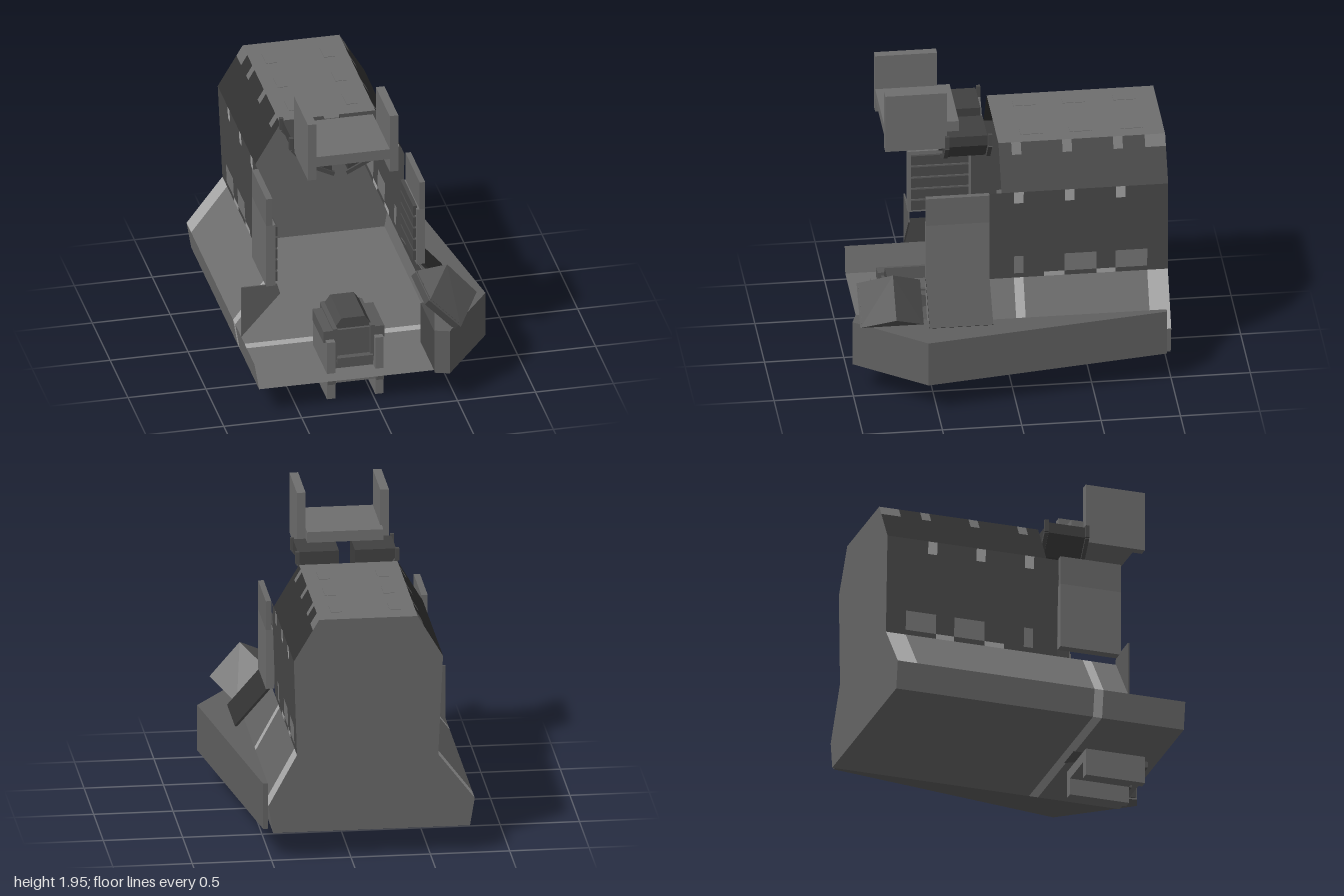
import * as THREE from 'three';
import { ConvexGeometry } from 'three/addons/geometries/ConvexGeometry.js';

const CX = -0.11; // centre line of the hull
const GREY = 0x6f6f6f, WALL = 0x4a4a4a, DARK = 0x323232, SHADE = 0x585858, PALE = 0xa8a8a8;
const materials = {};
const material = color => (materials[color] ??=
  new THREE.MeshStandardMaterial({ color, flatShading: true, side: THREE.DoubleSide }));

export function createModel() {
  const model = new THREE.Group();

  const add = (name, geometry, color = GREY) => {
    const mesh = new THREE.Mesh(geometry, material(color));
    mesh.name = name;
    model.add(mesh);
    return mesh;
  };
  // Box given by its limits on each axis
  const box = (name, x0, x1, y0, y1, z0, z1, color) => {
    const mesh = add(name, new THREE.BoxGeometry(x1 - x0, y1 - y0, z1 - z0), color);
    mesh.position.set((x0 + x1) / 2, (y0 + y1) / 2, (z0 + z1) / 2);
    return mesh;
  };
  // Flat sheet running along z between two points of the cross-section
  const sheet = (name, [ax, ay], [bx, by], z0, z1, color) => {
    const g = new THREE.BufferGeometry();
    g.setAttribute('position', new THREE.Float32BufferAttribute(
      [ax, ay, z0, bx, by, z0, bx, by, z1, ax, ay, z1], 3));
    g.setIndex([0, 1, 2, 0, 2, 3]);
    g.computeVertexNormals();
    return add(name, g, color);
  };
  // Sheet from the back to z = end, interrupted by tiles of another colour
  const course = (name, a, b, end, color, tiles, tileColor) => {
    let z = -1;
    for (const [z0, z1] of tiles) {
      if (z0 > z) sheet(name, a, b, z, z0, color);
      sheet(name + 'Tile', a, b, z0, z1, tileColor);
      z = z1;
    }
    sheet(name, a, b, z, end, color);
  };
  // Outline in x/y, extruded along z
  const prism = (name, pts, z0, z1, color) => {
    const shape = new THREE.Shape(pts.map(p => new THREE.Vector2(...p)));
    const g = new THREE.ExtrudeGeometry(shape, { depth: z1 - z0, bevelEnabled: false });
    return add(name, g.translate(0, 0, z0), color);
  };
  // Slim bar lying along a slanted line in x/y
  const slantBar = (name, [ax, ay], [bx, by], t, z0, z1, color) => {
    const m = box(name, 0, Math.hypot(bx - ax, by - ay), 0, t, z0, z1, color);
    m.position.set((ax + bx) / 2, (ay + by) / 2, (z0 + z1) / 2);
    m.rotation.z = Math.atan2(by - ay, bx - ax);
    return m;
  };

  // Hull shell, open at the front: each side is a stack of tiled courses
  const left = [[0.20, 1.58], [0.36, 1.31], [0.34, 0.69], [0.52, 0.36], [0.49, 0.18]];
  const right = [[-0.42, 1.58], [-0.58, 1.31], [-0.55, 0.66], [-0.78, 0.36], [-0.75, 0.18]];
  const small = [[-0.73, -0.67], [-0.41, -0.35], [-0.09, -0.03]];
  const wide = [[-0.87, -0.67], [-0.55, -0.35], [-0.09, -0.03]];
  const seams = [[-0.67, -0.55], [-0.35, -0.22]];
  for (const side of [left, right]) {
    const at = (i, t) => [0, 1].map(k => side[i][k] + (side[i + 1][k] - side[i][k]) * t);
    course('roofSlope', at(0, 0), at(0, 0.25), 0.05, DARK, [[-1, -0.87], ...small], GREY);
    course('roofSlope', at(0, 0.25), at(0, 1), 0.05, DARK, [], GREY);
    course('sideWall', at(1, 0), at(1, 0.13), 0.13, WALL, small, PALE);
    course('sideWall', at(1, 0.13), at(1, 0.75), 0.13, WALL, [], GREY);
    course('sideWall', at(1, 0.75), at(1, 0.95), 0.13, WALL, wide, 0x787878);
    course('sideWall', at(1, 0.95), at(1, 1), 0.13, WALL, seams, PALE);
    const middle = side === left ? [-0.09, -0.03] : [0.3, 0.36];
    course('lowerSlope', at(2, 0), at(2, 1), 0.53, side === left ? 0x646464 : GREY, [[-1, -0.87], middle], PALE);
    course('floorLip', at(3, 0), at(3, 1), 0.9, GREY, [[0.3, 0.36]], PALE);
  }
  sheet('roof', left[0], right[0], -1, 0.05);
  course('floor', left[4], right[4], 0.9, GREY, [[0.3, 0.36]], PALE);
  const backShape = new THREE.Shape([...left, ...[...right].reverse()].map(p => new THREE.Vector2(...p)));
  add('backWall', new THREE.ShapeGeometry(backShape), 0x666666).position.z = -1;

  // Shallow plates on the roof
  for (const z of [-0.8, -0.48, -0.17])
    for (const x of [-0.295, 0.075])
      box('roofPlate', x - 0.035, x + 0.035, 1.574, 1.583, z - 0.07, z + 0.07);

  // Front side panels with slats on their inner faces
  for (const [x0, x1, top0, top1, inner, low] of [
    [0.345, 0.4, 0.365, 0.4, 0.34, 0.74], [-0.62, -0.56, -0.62, -0.58, -0.555, 0.7]]) {
    box('sidePanel', x0, x1, low, 1.13, 0.13, 0.53);
    box('sidePanelTop', top0, top1, 1.13, 1.32, 0.13, 0.53, 0x686868);
    for (let i = 0; i < 5; i++)
      box('panelSlat', inner - 0.012, inner + 0.012, low + 0.02 + i * 0.08, low + 0.085 + i * 0.08, 0.15, 0.51, WALL);
  }
  slantBar('panelSkirt', [0.38, 0.74], [0.59, 0.5], 0.015, 0.13, 0.53, DARK);
  prism('cornerFlap', [[-0.78, 0.36], [-0.53, 0.64], [-0.55, 0.71], [-0.78, 0.71]], 0.52, 0.53, 0x5c5c5c);

  // Long tapering fairing on the left side
  const plan = [[0.52, -0.97], [0.55, -0.97], [0.78, 0.56], [0.45, 1], [0.36, 0.97], [0.45, 0.56], [0.52, 0.5]];
  const fairing = new THREE.ExtrudeGeometry(
    new THREE.Shape(plan.map(([x, z]) => new THREE.Vector2(x, -z))), { depth: 0.3, bevelEnabled: false });
  add('sideFairing', fairing.rotateX(-Math.PI / 2).translate(0, 0.2, 0), 0x606060);
  box('fairingEnd', 0.36, 0.44, 0.21, 0.49, 0.58, 0.965, WALL);

  // Tilted wedge above the fairing: rectangular base rising to a ridge
  const v = (x, y, z) => new THREE.Vector3(x, y, z);
  add('tiltedWedge', new ConvexGeometry([
    v(0.33, 0.71, 0.56), v(0.33, 0.71, 0.96), v(0.53, 0.5, 0.56), v(0.53, 0.5, 0.96),
    v(0.49, 0.84, 0.75), v(0.68, 0.62, 0.75)]), SHADE);
  slantBar('wedgeBase', [0.32, 0.7], [0.51, 0.5], 0.05, 0.57, 0.95, WALL);

  // Upper carrier: two upright plates joined by a cross plate
  box('upperCrossPlate', -0.36, 0.12, 1.64, 1.71, 0.29, 0.76);
  for (const x of [-0.405, 0.12]) box('upperFin', x, x + 0.055, 1.55, 1.945, 0.37, 0.76);

  // Pair of wedge pods under the carrier, mirrored about the centre line
  for (const s of [-1, 1]) {
    const m = pts => pts.map(([x, y]) => [CX + s * x, y]);
    prism('pod', m([[0.05, 1.64], [0.31, 1.64], [0.31, 1.57], [0.21, 1.45], [0.09, 1.38], [0.05, 1.38]]), 0.12, 0.37, 0x404040);
    const [a, b] = m([[0.31, 1.57], [0.21, 1.45]]);
    const [c, d] = m([[0.21, 1.45], [0.04, 1.365]]);
    for (const z of [0.09, 0.36]) {
      slantBar('podFrame', a, b, 0.025, z, z + 0.025, WALL);
      slantBar('podFrame', c, d, 0.025, z, z + 0.025, WALL);
      const x = CX + s * 0.315;
      box('podPost', x - 0.012, x + 0.012, 1.57, 1.65, z, z + 0.025, WALL);
    }
  }

  // Lower carrier: two plates through the floor, with a cross plate and centre unit
  for (const s of [-1, 1]) {
    const x = CX + s * 0.155;
    box('lowerFin', x - 0.027, x + 0.027, 0, 0.4, 0.41, 0.8);
    box('finClip', x - 0.04, x + 0.04, 0.38, 0.46, 0.45, 0.76, SHADE);
    box('finStud', x - 0.025, x + 0.025, 0.11, 0.15, 0.79, 0.82, SHADE);
    box('unitRail', CX + s * 0.12 - 0.015, CX + s * 0.12 + 0.015, 0.25, 0.47, 0.4, 0.76, SHADE);
  }
  box('lowerCrossPlate', -0.24, 0.05, 0.11, 0.18, 0.41, 0.8);
  box('centreUnit', -0.23, 0.02, 0.18, 0.45, 0.35, 0.74, SHADE);
  prism('unitCap', [[-0.23, 0.45], [0.02, 0.45], [-0.03, 0.52], [-0.18, 0.52]], 0.4, 0.72, WALL);
  box('unitLedge', -0.22, 0.01, 0.23, 0.27, 0.74, 0.78, SHADE);

  return model;
}
